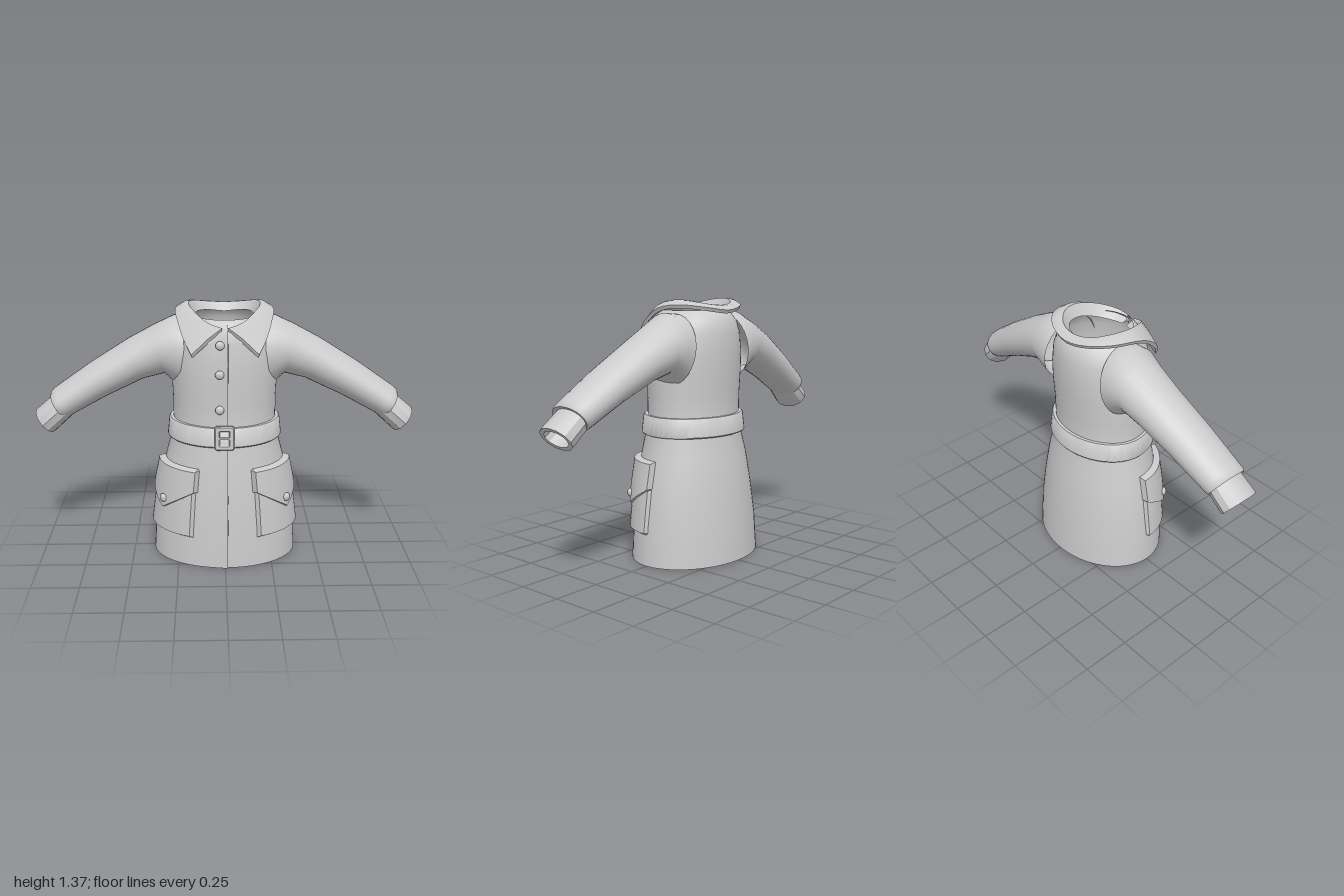
import * as THREE from 'three';
import { toCreasedNormals } from 'three/addons/utils/BufferGeometryUtils.js';

const material = new THREE.MeshStandardMaterial({ color: 0xcccccc, side: THREE.DoubleSide });
const V = (x, y, z) => new THREE.Vector3(x, y, z);

// Coat silhouette: height, half width, front depth, back depth
const PROFILE = [
  [0, .39, .298, .302], [.2, .377, .293, .29], [.4, .348, .28, .266], [.55, .317, .266, .245],
  [.67, .284, .251, .22], [.77, .273, .238, .208], [.88, .273, .238, .212], [1, .278, .242, .22],
  [1.1, .274, .24, .225], [1.2, .256, .231, .223], [1.26, .228, .22, .212], [1.295, .195, .198, .19],
  [1.315, .165, .17, .162],
];

function sizeAt(y) {
  let k = 1;
  while (k < PROFILE.length - 1 && PROFILE[k][0] < y) k++;
  const a = PROFILE[k - 1], b = PROFILE[k], t = (y - a[0]) / (b[0] - a[0]);
  return [1, 2, 3].map(i => THREE.MathUtils.lerp(a[i], b[i], t));
}

// Point on the coat at an angle from the front, lifted outward by off
function onCoat(angle, y, off = 0) {
  const [rx, front, back] = sizeAt(y), c = Math.cos(angle);
  return V((rx + off) * Math.sin(angle), y, c * ((c > 0 ? front : back) + off));
}

// Grid of quads from point(i, j)
function grid(nu, nv, point, crease = 0.7) {
  const pos = [], index = [];
  for (let j = 0; j <= nv; j++) for (let i = 0; i <= nu; i++) pos.push(...point(i, j).toArray());
  for (let j = 0; j < nv; j++) for (let i = 0; i < nu; i++) {
    const a = j * (nu + 1) + i, b = a + 1, c = a + nu + 1, d = c + 1;
    index.push(a, b, d, a, d, c);
  }
  const g = new THREE.BufferGeometry();
  g.setAttribute('position', new THREE.Float32BufferAttribute(pos, 3));
  g.setIndex(index);
  return toCreasedNormals(g, crease);
}

function add(parent, name, geometry) {
  const mesh = new THREE.Mesh(geometry, material);
  mesh.name = name;
  parent.add(mesh);
  return mesh;
}

const turn = (i, n) => (i % n) / n * Math.PI * 2;

// Sleeve and cuff rings: top x, top y, bottom x, bottom y, centre z, half depth
function loft(rings, sides, crease) {
  return grid(sides, rings.length - 1, (i, j) => {
    const [tx, ty, bx, by, z, rz] = rings[j], a = turn(i, sides), c = Math.cos(a);
    return V((tx + bx) / 2 + c * (tx - bx) / 2, (ty + by) / 2 + c * (ty - by) / 2, z + rz * Math.sin(a));
  }, crease);
}

// Raised panel that wraps the coat, with bevelled walls
function panel(a0, a1, top, bottom, off, bevel) {
  const n = 12;
  return grid(n + 2, 5, (i, j) => {
    const u = THREE.MathUtils.clamp((i - 1) / n, 0, 1);
    const rim = i === 0 || i === n + 2 || j === 0 || j === 5;
    const v = THREE.MathUtils.clamp((j - 1) / 3, 0, 1);
    let angle = a0 + (a1 - a0) * u, y = THREE.MathUtils.lerp(bottom(u), top, v);
    if (i === 0) angle -= bevel * 3;
    if (i === n + 2) angle += bevel * 3;
    if (j === 0) y -= bevel;
    if (j === 5) y += bevel;
    return onCoat(angle, y, rim ? -.004 : off);
  }, 0.35);
}

function button(parent, position, angle = 0) {
  const b = add(parent, 'button', new THREE.SphereGeometry(.023, 14, 10));
  b.scale.z = .6;
  b.position.copy(position);
  b.rotation.y = angle;
}

function roundedRect(Type, w, h, r) {
  const s = new Type();
  s.moveTo(-w + r, -h);
  s.lineTo(w - r, -h); s.quadraticCurveTo(w, -h, w, -h + r);
  s.lineTo(w, h - r); s.quadraticCurveTo(w, h, w - r, h);
  s.lineTo(-w + r, h); s.quadraticCurveTo(-w, h, -w, h - r);
  s.lineTo(-w, -h + r); s.quadraticCurveTo(-w, -h, -w + r, -h);
  return s;
}

function collarGeometry() {
  // Half curves from the front opening to the back of the neck
  const inner = [[.015, 1.265, .165], [.075, 1.27, .14], [.132, 1.29, .075], [.15, 1.31, 0],
    [.138, 1.315, -.075], [.08, 1.31, -.127], [0, 1.3, -.14]];
  const ridge = [[.015, 1.285, .222], [.085, 1.307, .203], [.15, 1.345, .115], [.185, 1.368, .01],
    [.168, 1.37, -.085], [.1, 1.352, -.155], [0, 1.343, -.18]];
  const outer = [[.17, 1.155, .245], [.21, 1.225, .195], [.242, 1.3, .095], [.256, 1.338, 0],
    [.226, 1.347, -.115], [.13, 1.333, -.197], [0, 1.318, -.225]];
  const whole = half => new THREE.CatmullRomCurve3([
    ...half.map(p => V(...p)), ...half.slice(0, -1).reverse().map(([x, y, z]) => V(-x, y, z))]);
  const curves = [inner, ridge, outer].map(whole), n = 36;
  const drop = (p, y) => V(p.x * .97, p.y - y, p.z * .96);
  return grid(n + 2, 5, (i, j) => {
    const t = THREE.MathUtils.clamp((i - 1) / n, 0, 1);
    const [a, r, o] = curves.map(c => c.getPoint(t));
    const mid = r.clone().lerp(o, .45);
    mid.y += .008;
    const rows = [a, r, mid, o, drop(o, .018), drop(r, .02)];
    // End columns fold under to close the front edges
    if (i === 0 || i === n + 2) { rows[1] = rows[5]; rows[2] = drop(mid, .018); rows[3] = rows[4]; }
    return rows[j];
  }, 0.6);
}

export function createModel() {
  const coat = new THREE.Group();
  coat.name = 'coat';

  // Body and skirt
  const sides = 48;
  add(coat, 'body', grid(sides, PROFILE.length - 1, (i, j) => onCoat(turn(i, sides), PROFILE[j][0]), 1.2));

  // Overlapping front edge
  const edge = [[-.06, 0], [.014, .01], [.016, -.01]];
  const rows = PROFILE.slice(0, -1);
  add(coat, 'placket', grid(2, rows.length - 1, (i, j) =>
    onCoat(Math.asin(edge[i][0] / rows[j][1]), rows[j][0], edge[i][1])));

  // Belt and buckle
  const band = [[.668, -.005], [.668, .016], [.674, .021], [.764, .021], [.77, .016], [.77, -.005]];
  add(coat, 'belt', grid(sides, 5, (i, j) => onCoat(turn(i, sides), ...band[j])));
  const frame = roundedRect(THREE.Shape, .046, .06, .012);
  frame.holes.push(roundedRect(THREE.Path, .028, .042, .006));
  const buckle = add(coat, 'buckle', new THREE.ExtrudeGeometry(frame,
    { depth: .014, bevelThickness: .005, bevelSize: .005, bevelSegments: 1 }));
  buckle.position.set(-.004, .722, .257);
  const prong = add(coat, 'bucklePin', new THREE.BoxGeometry(.06, .01, .012));
  prong.position.set(-.004, .722, .27);

  // Front buttons
  for (const y of [1.2, 1.052, .866]) button(coat, onCoat(-.1, y, .01));

  add(coat, 'collar', collarGeometry());

  for (const side of [1, -1]) {
    const half = new THREE.Group();
    half.name = side > 0 ? 'leftSide' : 'rightSide';
    half.scale.x = side;
    coat.add(half);

    // Sleeve with a turned-in end
    add(half, 'sleeve', loft([
      [.185, 1.3, .245, .93, -.02, .17], [.26, 1.305, .272, .955, -.025, .168],
      [.36, 1.257, .315, .995, -.032, .15], [.5, 1.182, .425, .968, -.03, .138],
      [.7, 1.06, .62, .88, -.008, .128], [.89, .93, .805, .783, .013, .119],
      [.913, .912, .828, .772, .017, .118], [.918, .899, .84, .776, .018, .112],
      [.905, .888, .838, .792, .018, .09],
    ], 28, 0.8));

    // Cuff with an open, hollow end
    add(half, 'cuff', loft([
      [.89, .9, .8, .785, .02, .1], [.994, .815, .9, .695, .03, .106], [1, .808, .907, .69, .03, .103],
      [.986, .792, .919, .706, .03, .078], [.89, .866, .825, .782, .025, .076],
    ], 12, 0.5));

    // Pocket, pointed flap and its button
    const pocket = new THREE.Group();
    pocket.name = 'pocket';
    half.add(pocket);
    add(pocket, 'pocketBag', panel(.5, 1.54, .52, () => .175, .02, .014));
    const flapEdge = u => u < .5 ? THREE.MathUtils.lerp(.425, .305, u / .5) : THREE.MathUtils.lerp(.305, .405, (u - .5) / .5);
    add(pocket, 'pocketFlap', panel(.46, 1.56, .535, flapEdge, .034, .01));
    button(pocket, onCoat(1.0, .357, .038), .85);
  }
  return coat;
}
